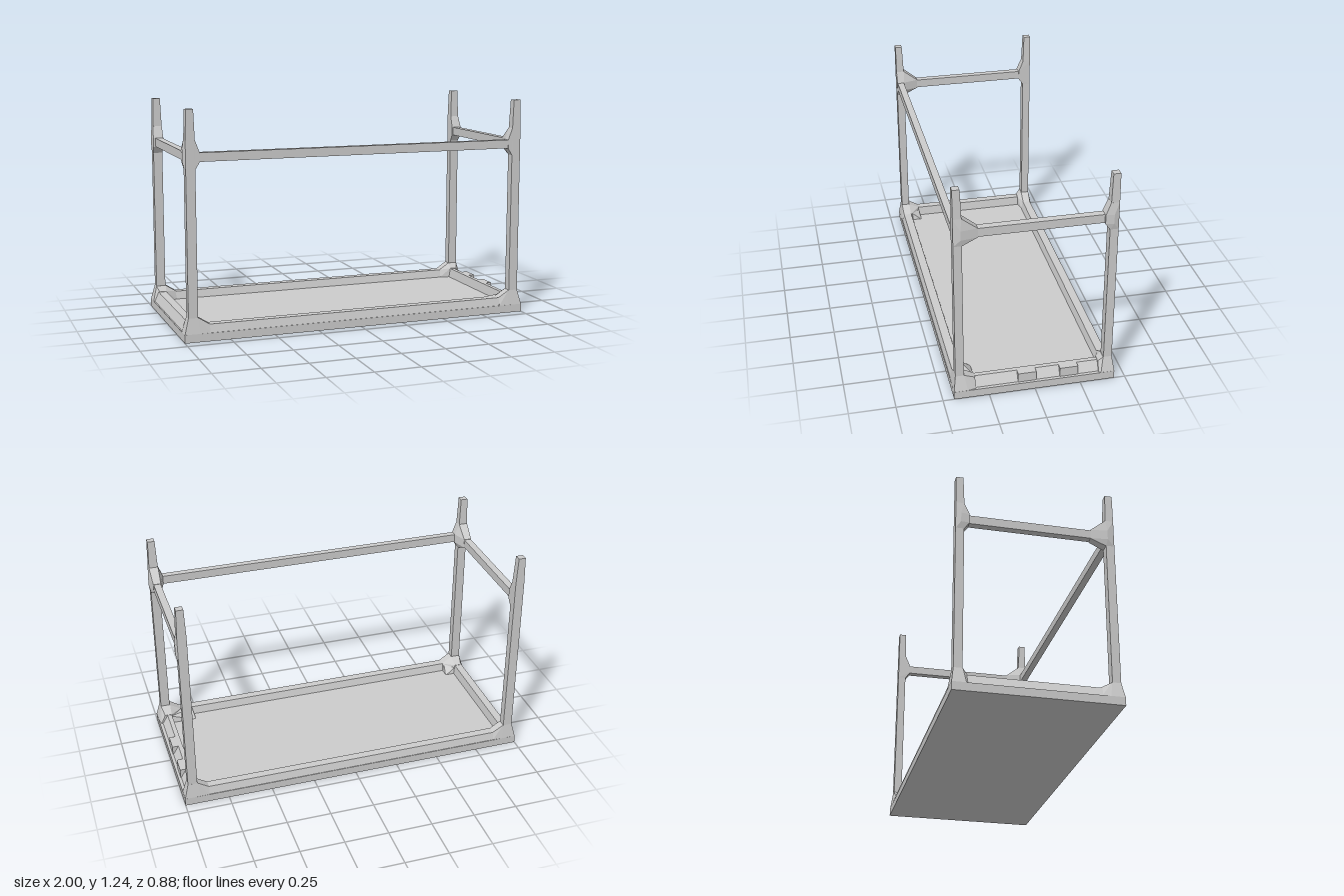
import * as THREE from 'three';
import { ConvexGeometry } from 'three/addons/geometries/ConvexGeometry.js';

const material = new THREE.MeshStandardMaterial({ color: 0xcccccc, flatShading: true });

export function createModel() {
  const group = new THREE.Group();

  const add = (name, geometry) => {
    const mesh = new THREE.Mesh(geometry, material);
    mesh.name = name;
    group.add(mesh);
  };
  const box = (name, x0, x1, y0, y1, z0, z1) => {
    const g = new THREE.BoxGeometry(Math.abs(x1 - x0), y1 - y0, Math.abs(z1 - z0));
    add(name, g.translate((x0 + x1) / 2, (y0 + y1) / 2, (z0 + z1) / 2));
  };
  const hull = (name, points, sx = 1, sz = 1) =>
    add(name, new ConvexGeometry(points.map(([x, y, z]) => new THREE.Vector3(x * sx, y, z * sz))));
  // Horizontal rectangle of corner points
  const rect = (x0, x1, y, z0, z1) => [[x0, y, z0], [x1, y, z0], [x1, y, z1], [x0, y, z1]];

  // Floor slab
  box('floorSlab', -1, 1, 0, 0.045, -0.44, 0.44);

  // Long sills with bevelled sides, front and back
  for (const [name, sz] of [['frontSill', 1], ['backSill', -1]]) {
    hull(name, [...rect(-0.97, 0.97, 0.04, 0.365, 0.438), ...rect(-0.97, 0.97, 0.09, 0.378, 0.425)], 1, sz);
  }

  // Plain left-hand and stepped right-hand side sills
  hull('plainSideSill', [...rect(0.915, 0.995, 0.04, -0.4, 0.4), ...rect(0.925, 0.97, 0.098, -0.4, 0.4)], -1);
  hull('steppedSideSill', [...rect(0.915, 0.985, 0.04, -0.4, 0.4), ...rect(0.925, 0.95, 0.098, -0.4, 0.4)]);
  for (const [z0, z1] of [[-0.24, -0.14], [-0.01, 0.09]]) {
    box('sillBlock', 0.93, 0.985, 0.04, 0.098, z0, z1);
  }

  // Upper rails: front and both sides, open at the back
  box('frontRail', -0.94, 0.94, 0.96, 1.008, 0.387, 0.425);
  for (const sx of [-1, 1]) box('sideRail', sx * 0.928, sx * 0.968, 0.96, 1.008, -0.4, 0.4);

  for (const sx of [-1, 1]) {
    for (const sz of [-1, 1]) {
      const front = sz > 0;

      // Slightly tapered corner post
      hull('post', [
        ...rect(0.924, 0.977, 0.04, 0.382, 0.428),
        ...rect(0.924, 0.975, 1.07, 0.382, 0.427),
        ...rect(0.93, 0.97, 1.235, 0.388, 0.427),
      ], sx, sz);

      // Flared foot spreading into the sills
      const reach = front ? 0.32 : 0.355;
      hull('postFoot', [
        ...rect(0.922, 0.977, 0.13, 0.38, 0.428),
        ...rect(0.915, 1, 0.042, 0.365, 0.44),
        [0.86, 0.09, 0.38], [0.86, 0.09, 0.425], [0.86, 0.045, 0.438], [0.86, 0.045, 0.366],
        [0.925, 0.1, reach], [0.965, 0.1, reach], [0.915, 0.045, reach], [0.99, 0.045, reach],
      ], sx, sz);

      // Joint where the rails meet the post
      const joint = [
        ...rect(0.924, 0.975, 1.075, 0.382, 0.427),
        ...rect(0.924, 0.975, 0.92, 0.382, 0.427),
      ];
      if (front) {
        for (const y of [0.958, 1.01]) {
          joint.push([0.9, y, 0.386], [0.9, y, 0.427], [0.927, y, 0.3], [0.97, y, 0.3], [0.984, y, 0.39]);
        }
      } else {
        for (const y of [0.958, 1.01]) joint.push([0.922, y, 0.355], [0.98, y, 0.355], [0.984, y, 0.4]);
      }
      hull('railJoint', joint, sx, sz);
    }

    // Sloped block inside each front corner
    const inner = sx > 0 ? 0.78 : 0.86;
    hull('cornerBlock', [
      ...rect(inner, 0.93, 0.04, 0.31, 0.39),
      ...rect(inner + 0.01, 0.93, 0.088, 0.37, 0.39),
      [0.93, 0.088, 0.32],
    ], sx);
  }

  return group;
}
